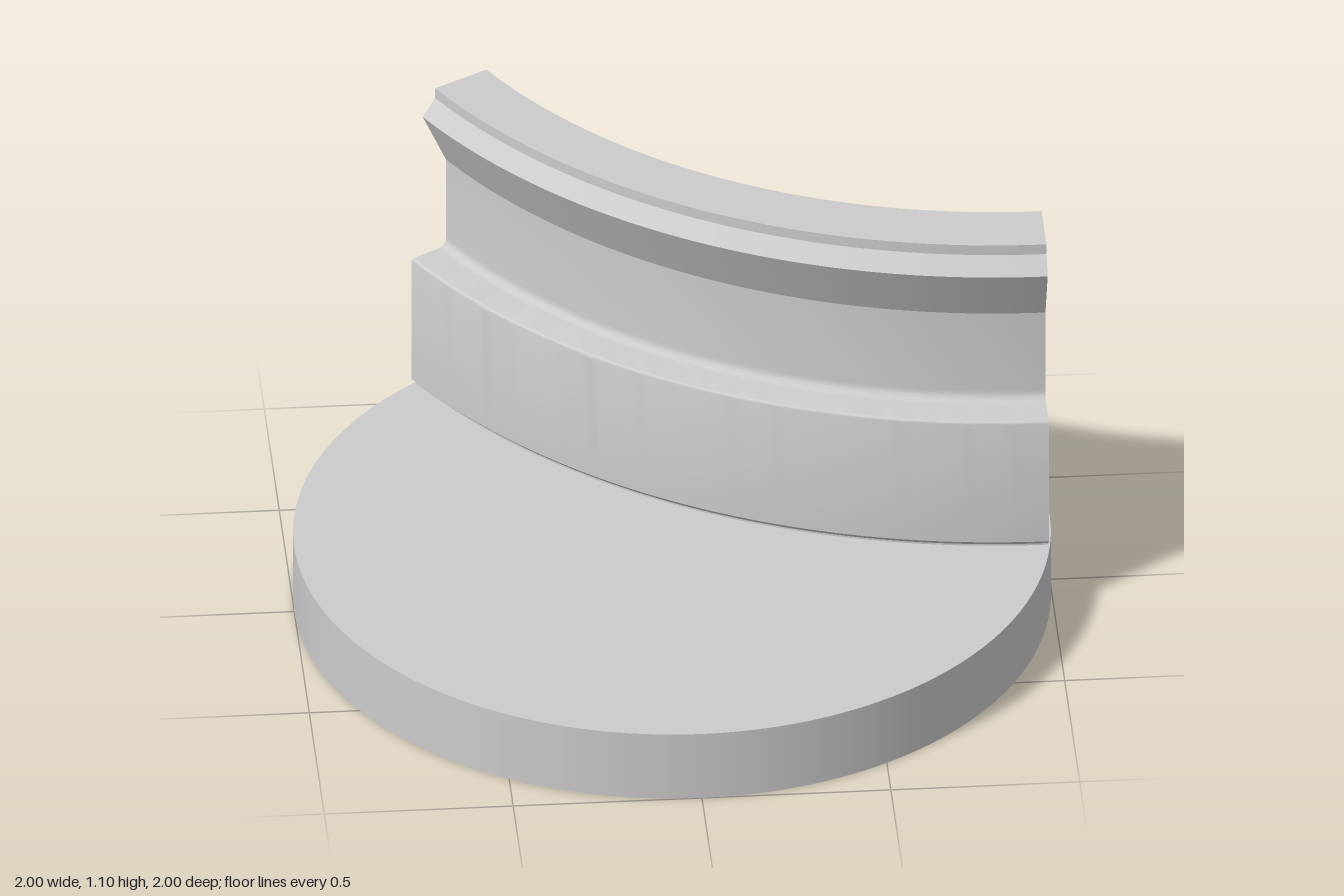
import * as THREE from 'three';
import { toCreasedNormals } from 'three/addons/utils/BufferGeometryUtils.js';

const R = 1.705;            // radius of the rail's centre line
const SWEEP = Math.PI / 3;  // the rail covers 60 degrees

// Closed rail cross-section as (offset from centre line, height), counterclockwise
function railProfile() {
  const half = new THREE.Path();
  half.moveTo(0.143, 0.195);
  half.lineTo(0.143, 0.205);
  half.lineTo(0.158, 0.22);                       // bottom chamfer
  half.lineTo(0.158, 0.583);
  half.quadraticCurveTo(0.158, 0.595, 0.146, 0.595); // rounded shoulder
  half.lineTo(0.076, 0.595);
  half.quadraticCurveTo(0.047, 0.595, 0.047, 0.624); // fillet into the web
  half.lineTo(0.047, 0.865);
  half.lineTo(0.122, 1.025);                      // flared head
  half.lineTo(0.082, 1.07);
  half.lineTo(0.082, 1.1);
  const outer = half.getPoints(6);
  const inner = outer.map((p) => new THREE.Vector2(-p.x, p.y)).reverse();
  return [...outer, ...inner];
}

export function createModel() {
  const model = new THREE.Group();
  const grey = new THREE.MeshStandardMaterial({ color: 0xcccccc });
  const greyDouble = new THREE.MeshStandardMaterial({ color: 0xcccccc, side: THREE.DoubleSide });

  // Round base plate
  const base = new THREE.Mesh(new THREE.CylinderGeometry(1, 1, 0.2, 128), grey);
  base.name = 'basePlate';
  base.position.y = 0.1;
  model.add(base);

  // Curved rail: the profile swept around a centre behind the plate
  const rail = new THREE.Group();
  rail.name = 'curvedRail';
  rail.position.set(0.985, 0, -R);
  model.add(rail);

  const profile = railProfile().map((p) => new THREE.Vector2(p.x + R, p.y));
  const sweep = new THREE.LatheGeometry([...profile, profile[0].clone()], 64, -SWEEP, SWEEP);
  const body = new THREE.Mesh(toCreasedNormals(sweep, 0.42), grey);
  body.name = 'railBody';
  rail.add(body);

  // Flat cut faces closing both ends
  [['railEndLeft', 0], ['railEndRight', -SWEEP]].forEach(([name, angle]) => {
    const cap = new THREE.Mesh(new THREE.ShapeGeometry(new THREE.Shape(profile)), greyDouble);
    cap.name = name;
    cap.rotation.y = angle - Math.PI / 2;
    rail.add(cap);
  });

  return model;
}
